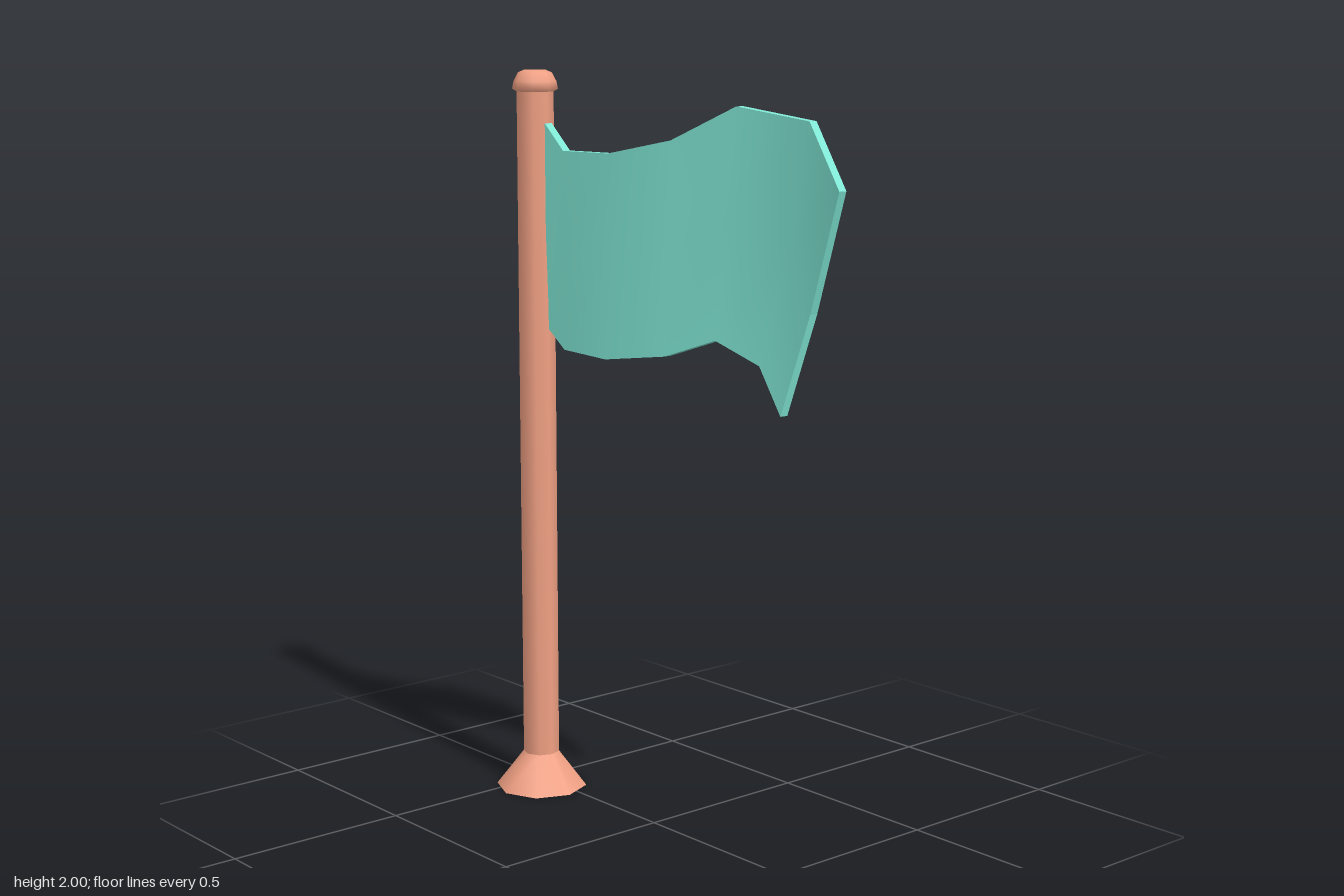
import * as THREE from 'three';

const SIDES = 8;
const THICK = 0.012; // half thickness of the cloth

// Flag columns from pole to free end; each has top, middle and bottom points [x, y, z]
const COLUMNS = [
  [[-0.03, 1.86, -0.4], [-0.028, 1.58, -0.402], [-0.022, 1.31, -0.405]],
  [[-0.02, 1.79, -0.335], [-0.018, 1.52, -0.34], [-0.012, 1.255, -0.345]],
  [[-0.002, 1.79, -0.17], [0.0, 1.52, -0.18], [0.003, 1.245, -0.19]],
  [[0.05, 1.83, 0.02], [0.048, 1.55, 0.01], [0.045, 1.27, 0.0]],
  [[0.112, 1.92, 0.2], [0.108, 1.62, 0.18], [0.085, 1.325, 0.155]],
  [[0.144, 1.89, 0.43], [0.142, 1.57, 0.37], [0.1, 1.275, 0.305]],
  [[0.1, 1.73, 0.58], [0.118, 1.42, 0.468], [0.085, 1.16, 0.4]],
];

// Thin wavy sheet: two smooth faces plus a hard-edged rim
function flagGeometry() {
  const pos = [], idx = [];
  const rows = 3, cols = COLUMNS.length;
  const put = ([x, y, z], side) => pos.push(x + side * THICK, y, z) / 3 - 1;

  for (const side of [1, -1]) {
    const start = pos.length / 3;
    COLUMNS.forEach((c) => c.forEach((p) => put(p, side)));
    for (let i = 0; i < cols - 1; i++) {
      for (let j = 0; j < rows - 1; j++) {
        const a = start + i * rows + j, b = a + rows, c = a + 1, d = b + 1;
        if (side > 0) idx.push(a, b, c, b, d, c);
        else idx.push(a, c, b, b, c, d);
      }
    }
  }

  // Outline: along the top, down the free end, back along the bottom, up the pole side
  const outline = [
    ...COLUMNS.map((c) => c[0]), COLUMNS[cols - 1][1],
    ...COLUMNS.map((c) => c[2]).reverse(), COLUMNS[0][1],
  ];
  outline.forEach((p, k) => {
    const q = outline[(k + 1) % outline.length];
    const a = put(p, 1), b = put(q, 1), c = put(p, -1), d = put(q, -1);
    idx.push(a, c, b, b, c, d);
  });

  const geo = new THREE.BufferGeometry();
  geo.setAttribute('position', new THREE.Float32BufferAttribute(pos, 3));
  geo.setIndex(idx);
  geo.computeVertexNormals();
  return geo;
}

export function createModel() {
  const group = new THREE.Group();
  const poleMat = new THREE.MeshStandardMaterial({ color: 0xf0a083 });
  const clothMat = new THREE.MeshStandardMaterial({ color: 0x7fe6d4 });

  const add = (name, geo, mat, parent) => {
    const mesh = new THREE.Mesh(geo, mat);
    mesh.name = name;
    parent.add(mesh);
    return mesh;
  };

  const pole = new THREE.Group();
  pole.name = 'flagpole';
  pole.position.set(-0.035, 0, -0.45);
  group.add(pole);

  // Flared foot, shaft and rounded cap
  add('base', new THREE.CylinderGeometry(0.05, 0.127, 0.1, SIDES), poleMat, pole).position.y = 0.05;
  add('shaft', new THREE.CylinderGeometry(0.05, 0.05, 1.86, SIDES), poleMat, pole).position.y = 1.02;
  const cap = [[0.045, 1.94], [0.062, 1.95], [0.058, 1.97], [0.046, 1.993], [0.03, 2], [0, 2]];
  add('cap', new THREE.LatheGeometry(cap.map(([r, y]) => new THREE.Vector2(r, y)), SIDES), poleMat, pole);

  add('flag', flagGeometry(), clothMat, group);
  return group;
}
